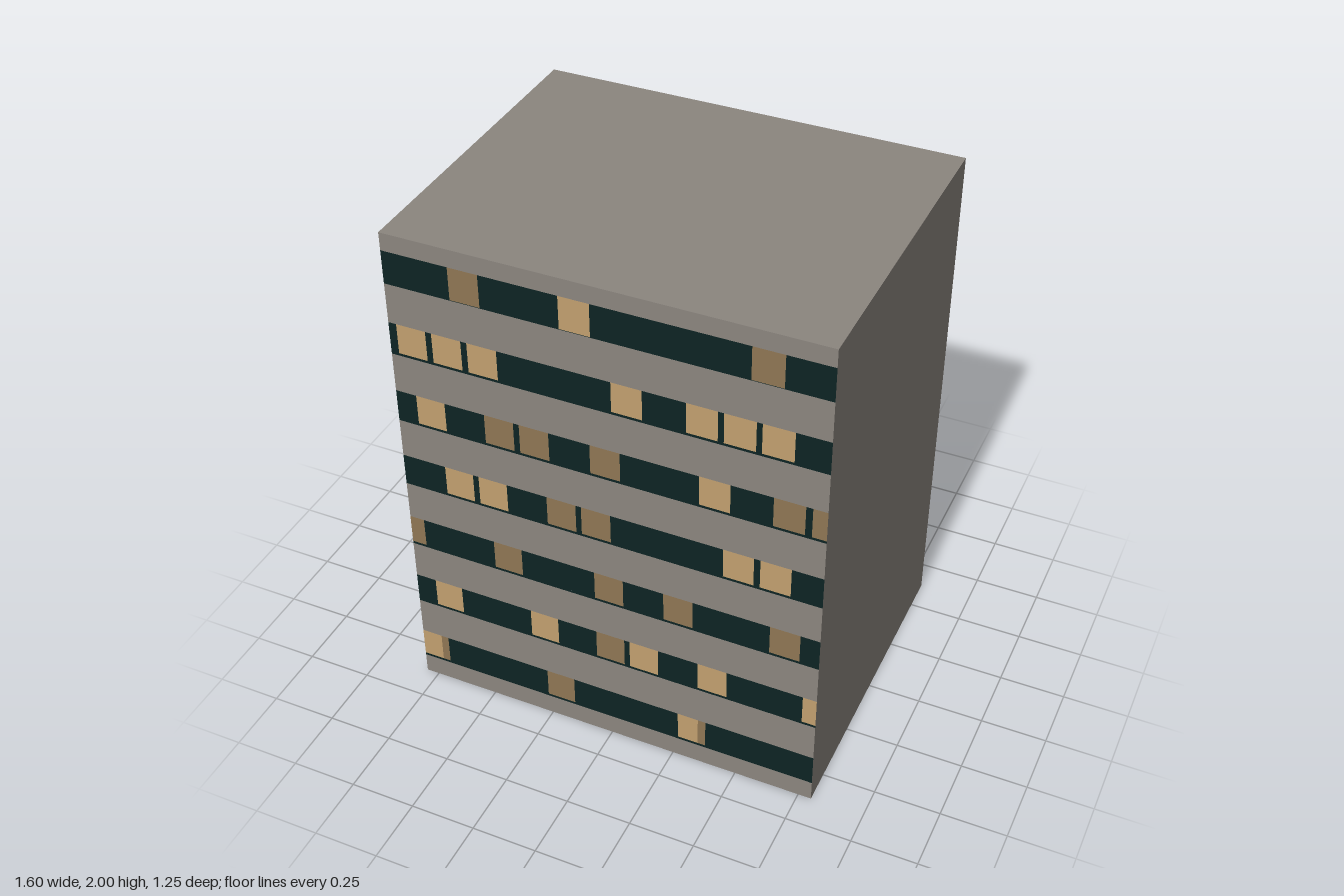
import * as THREE from 'three';
import { mergeGeometries } from 'three/addons/utils/BufferGeometryUtils.js';

const W = 1.6, H = 2, D = 1.25;
const BAND_H = 0.13, PITCH = 0.2863, FIRST_BAND = 0.083, SILL = 0.01, WINDOW_W = 0.112;

function flat(name, color) {
  const material = new THREE.MeshStandardMaterial({ color, side: THREE.DoubleSide });
  material.name = name;
  return material;
}

// Upright rectangle in the plane of the front wall
function rect(x0, x1, y0, y1) {
  return new THREE.PlaneGeometry(x1 - x0, y1 - y0).translate((x0 + x1) / 2, (y0 + y1) / 2, D / 2);
}

// Window rows, bottom to top: [left edge, lit or dim, optional width]
const ROWS = [
  [[-0.8, 'lit', 0.08], [-0.72, 'dim', 0.03], [-0.265, 'dim'], [0.27, 'lit', 0.08], [0.35, 'dim', 0.03]],
  [[-0.72, 'lit'], [-0.32, 'lit'], [-0.053, 'dim'], [0.08, 'lit'], [0.348, 'lit'], [0.748, 'lit', 0.052]],
  [[-0.8, 'dim', 0.057], [-0.454, 'dim'], [-0.053, 'dim'], [0.215, 'dim'], [0.616, 'dim']],
  [[-0.63, 'lit'], [-0.496, 'lit'], [-0.228, 'dim'], [-0.095, 'dim'], [0.438, 'lit'], [0.573, 'lit']],
  [[-0.72, 'lit'], [-0.454, 'dim'], [-0.32, 'dim'], [-0.053, 'dim'], [0.348, 'lit'], [0.612, 'dim'], [0.748, 'dim', 0.052]],
  [[-0.77, 'lit'], [-0.635, 'lit'], [-0.5, 'lit'], [0.032, 'lit'], [0.3, 'lit'], [0.433, 'lit'], [0.565, 'lit']],
  [[-0.55, 'dim'], [-0.148, 'lit'], [0.522, 'dim']],
];

export function createModel() {
  const model = new THREE.Group();
  model.name = 'officeBlock';
  const concrete = flat('concrete', 0x8c867f);
  const glass = flat('darkGlass', 0x0d2424);
  const lit = flat('litWindow', 0xc2a06f);
  const dim = flat('dimWindow', 0x8f7654);

  const add = (name, geometry, material) => {
    const mesh = new THREE.Mesh(geometry, material);
    mesh.name = name;
    model.add(mesh);
  };

  // Hollow shell: roof, back and side walls, open underneath
  add('roof', new THREE.PlaneGeometry(W, D).rotateX(-Math.PI / 2).translate(0, H, 0), concrete);
  add('backWall', new THREE.PlaneGeometry(W, H).rotateY(Math.PI).translate(0, H / 2, -D / 2), concrete);
  for (const [name, s] of [['leftWall', 1], ['rightWall', -1]]) {
    add(name, new THREE.PlaneGeometry(D, H).rotateY(s * Math.PI / 2).translate(s * W / 2, H / 2, 0), concrete);
  }

  // Front wall, tiled from concrete strips, glass bands and windows
  const parts = { strips: [], glass: [], lit: [], dim: [] };
  let below = 0;
  ROWS.forEach((row, i) => {
    const y0 = FIRST_BAND + i * PITCH, y1 = y0 + BAND_H;
    const sillY = y0 + (i === ROWS.length - 1 ? 0.002 : SILL);
    parts.strips.push(rect(-W / 2, W / 2, below, y0));
    parts.glass.push(rect(-W / 2, W / 2, y0, sillY));
    let x = -W / 2;
    for (const [left, kind, width = WINDOW_W] of row) {
      if (left - x > 0.001) parts.glass.push(rect(x, left, sillY, y1));
      x = left + width;
      parts[kind].push(rect(left, x, sillY, y1));
    }
    if (W / 2 - x > 0.001) parts.glass.push(rect(x, W / 2, sillY, y1));
    below = y1;
  });
  parts.strips.push(rect(-W / 2, W / 2, below, H));

  add('frontStrips', mergeGeometries(parts.strips), concrete);
  add('glassBands', mergeGeometries(parts.glass), glass);
  add('litWindows', mergeGeometries(parts.lit), lit);
  add('dimWindows', mergeGeometries(parts.dim), dim);
  return model;
}
